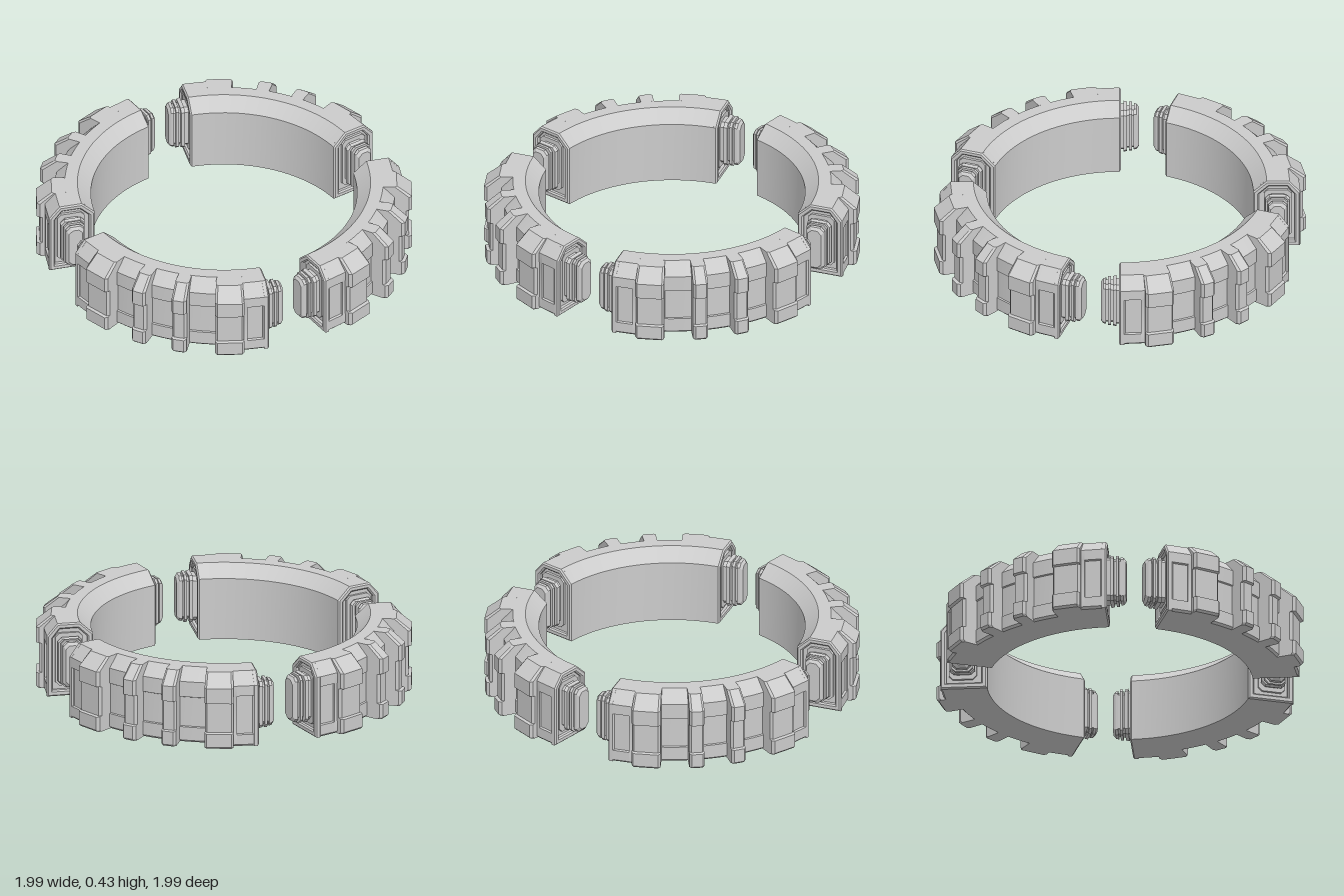
import * as THREE from 'three';
import { toCreasedNormals } from 'three/addons/utils/BufferGeometryUtils.js';

const RAD = Math.PI / 180;
const END = 9.7;        // angle of the end faces, measured from the axis
const INNER = 0.745;    // inner wall radius
const TOP = 0.43, SHOULDER = 0.36;

const material = new THREE.MeshStandardMaterial({ color: 0xcccccc });

// Closed solid through equal-length rings of points
function loft(rings, crease = 0.45) {
  const n = rings[0].length, pos = [];
  const tri = (...pts) => pts.forEach(p => pos.push(p.x, p.y, p.z));
  for (let k = 0; k + 1 < rings.length; k++) {
    for (let i = 0; i < n; i++) {
      const j = (i + 1) % n, a = rings[k], b = rings[k + 1];
      tri(a[i], b[i], b[j]);
      tri(a[i], b[j], a[j]);
    }
  }
  return { pos, finish() {
    const g = new THREE.BufferGeometry();
    g.setAttribute('position', new THREE.Float32BufferAttribute(pos, 3));
    return toCreasedNormals(g, crease);
  }, cap(flat) {
    const first = rings[0], last = rings[rings.length - 1];
    for (const [a, b, c] of THREE.ShapeUtils.triangulateShape(flat, [])) {
      tri(first[a], first[b], first[c]);
      tri(last[a], last[c], last[b]);
    }
    return this;
  } };
}

const polar = (r, y, deg) =>
  new THREE.Vector3(r * Math.sin(deg * RAD), y, r * Math.cos(deg * RAD));

// Sweep radial profiles around the ring; stations are [angle, profile]
function sweep(stations) {
  const rings = stations.map(([deg, prof]) => prof.map(([r, y]) => polar(r, y, deg)));
  return loft(rings).cap(stations[0][1].map(p => new THREE.Vector2(...p))).finish();
}

// Outer side of a section: bottom bevel, sunken middle band, sloped shoulder
function outer(R, slope, recess, bottom = 0.09, top = 0.27) {
  return [
    [R - 0.012, 0], [R, 0.012],
    [R, bottom], [R - recess, bottom + 0.004],
    [R - recess, top - 0.004], [R, top],
    [R, SHOULDER], [R - slope, TOP],
  ];
}
const bodyProfile = [[INNER, 0], ...outer(0.955, 0.065, 0.008), [0.82, TOP], [INNER, SHOULDER]];
const tread = (R, slope, recess, b, t) =>
  [[0.88, 0], ...outer(R, slope, recess, b, t), [0.89, TOP]];

function bodyGeometry() {
  const stations = [];
  for (let i = 0; i <= 24; i++) stations.push([11.3 + (67.4 * i) / 24, bodyProfile]);
  return sweep(stations);
}

// Raised block with slightly sloped flanks
function blockGeometry(a0, a1) {
  const high = tread(1.053, 0.085, 0.018), low = tread(1.036, 0.08, 0.016);
  return sweep([[a0, low], [a0 + 0.7, high], [a1 - 0.7, high], [a1, low]]);
}

// Sunken plate near an end, closed by a full-height strip beside the block
function plateGeometry(a0, a1, recess) {
  const p = tread(1.008, 0.06, recess, 0.07, 0.3);
  return sweep([[a0, p], [a1, p]]);
}

// Frame around the open end face
function frameGeometry() {
  const path = (pts) => pts.map(p => new THREE.Vector2(...p));
  const shape = new THREE.Shape(path([
    [INNER, 0], [1.008, 0], [1.008, SHOULDER], [0.948, TOP], [0.82, TOP], [INNER, SHOULDER]]));
  shape.holes.push(new THREE.Path(path([
    [0.778, 0.035], [0.778, 0.345], [0.832, 0.397], [0.935, 0.397], [0.975, 0.345], [0.975, 0.035]])));
  const g = new THREE.ExtrudeGeometry(shape, {
    depth: 0.02, bevelEnabled: true, bevelThickness: 0.008,
    bevelSize: 0.008, bevelOffset: -0.008, bevelSegments: 1 });
  g.translate(0, 0, 0.008);
  return toCreasedNormals(g, 0.4);
}

// Ribbed plug: [distance from the end face, width, height], tip first
const PLUG = [
  [0.102, 0.078, 0.235], [0.088, 0.1, 0.265], [0.072, 0.105, 0.27],
  [0.072, 0.09, 0.25], [0.062, 0.09, 0.25],
  [0.062, 0.118, 0.28], [0.046, 0.118, 0.28],
  [0.046, 0.095, 0.25], [0.034, 0.095, 0.25],
  [0.034, 0.135, 0.27], [0.014, 0.14, 0.28],
  [0.014, 0.115, 0.26], [-0.01, 0.115, 0.26],
  [-0.01, 0.155, 0.31], [-0.05, 0.155, 0.31],
];
function octagon(w, h) {
  const x = w / 2, y = h / 2, c = 0.022;
  return [[x, c - y], [x, y - c], [x - c, y], [c - x, y],
    [-x, y - c], [-x, c - y], [c - x, -y], [x - c, -y]];
}
function plugGeometry(deg, side) {
  const along = new THREE.Vector3(Math.cos(deg * RAD), 0, -Math.sin(deg * RAD));
  const rings = PLUG.map(([d, w, h]) => octagon(w, h).map(([u, v]) =>
    polar(0.882 + u, 0.215 + v, deg).addScaledVector(along, side * d)));
  if (side > 0) rings.reverse();
  return loft(rings, 0.3).cap(octagon(0.1, 0.25).map(p => new THREE.Vector2(...p))).finish();
}

function createSegment(parts) {
  const segment = new THREE.Group();
  for (const [name, geometry] of parts) {
    const mesh = new THREE.Mesh(geometry, material);
    mesh.name = name;
    segment.add(mesh);
  }
  return segment;
}

export function createModel() {
  const model = new THREE.Group();
  model.name = 'segmentedRing';

  const parts = [['arcBody', bodyGeometry()]];
  // Both halves of a segment mirror about its middle at 45 degrees
  const mirrored = (name, make, a0, a1, ...rest) => {
    parts.push([name, make(a0, a1, ...rest)], [name, make(90 - a1, 90 - a0, ...rest)]);
  };
  mirrored('wideTreadBlock', blockGeometry, 18, 27);
  mirrored('narrowTreadBlock', blockGeometry, 36, 40.7);
  mirrored('endPlate', plateGeometry, 11.3, 16.8, 0.012);
  mirrored('endPlateStrip', plateGeometry, 16.8, 18.2, 0.001);

  for (const [deg, side] of [[END, -1], [90 - END, 1]]) {
    // Frame axes: radial, up, and backwards along the ring
    const frame = frameGeometry();
    if (side < 0) frame.translate(0, 0, -0.036);
    frame.applyMatrix4(new THREE.Matrix4().makeRotationY((deg - 90) * RAD));
    parts.push(['endFrame', frame], ['connectorPlug', plugGeometry(deg, side)]);
  }

  ['frontLeft', 'backLeft', 'backRight', 'frontRight'].forEach((name, i) => {
    const segment = createSegment(parts);
    segment.name = name + 'Segment';
    segment.rotation.y = (i * Math.PI) / 2;
    model.add(segment);
  });
  return model;
}
